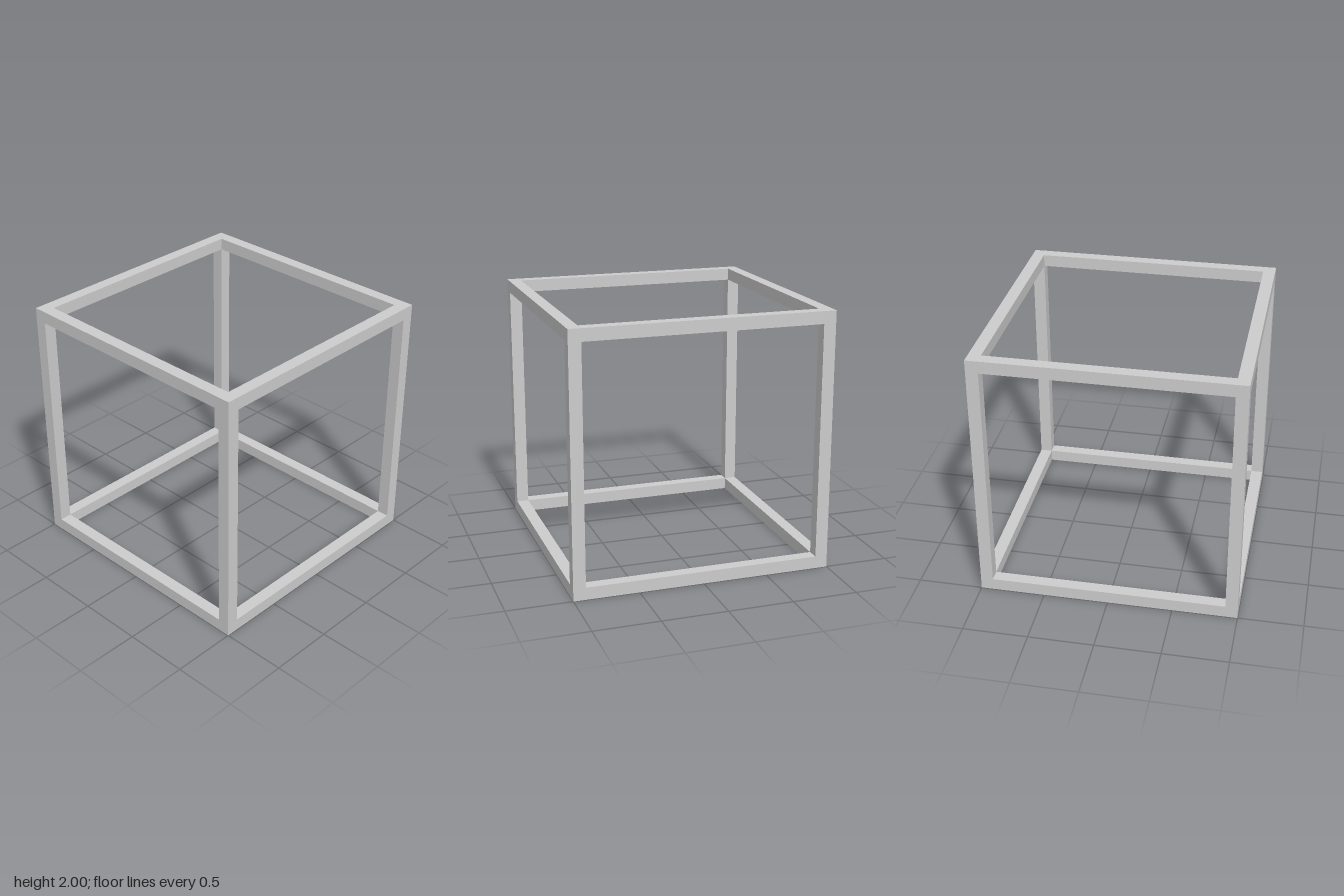
import * as THREE from 'three';

const SIZE = 2;        // outer edge length of the cube frame
const BAR = 0.095;     // square bar thickness
const INNER = SIZE - 2 * BAR;
const OFFSET = (SIZE - BAR) / 2;

export function createModel() {
  const group = new THREE.Group();
  group.name = 'cubeFrame';
  const material = new THREE.MeshStandardMaterial({ color: 0xcccccc, flatShading: true });

  const addBar = (name, w, h, d, x, y, z) => {
    const bar = new THREE.Mesh(new THREE.BoxGeometry(w, h, d), material);
    bar.name = name;
    bar.position.set(x, y + SIZE / 2, z);
    group.add(bar);
  };

  for (const a of [-1, 1]) {
    const side = a > 0 ? 'Left' : 'Right';
    for (const b of [-1, 1]) {
      const end = b > 0 ? 'front' : 'back';
      const level = b > 0 ? 'top' : 'bottom';
      // Full-height corner posts
      addBar(`${end}${side}Post`, BAR, SIZE, BAR, a * OFFSET, 0, b * OFFSET);
      // Side rails running front to back between the posts
      addBar(`${level}${side}Rail`, BAR, BAR, INNER, a * OFFSET, b * OFFSET, 0);
      // Cross rails running side to side between the posts
      addBar(`${level}${a > 0 ? 'Front' : 'Back'}Rail`, INNER, BAR, BAR, 0, b * OFFSET, a * OFFSET);
    }
  }
  return group;
}
